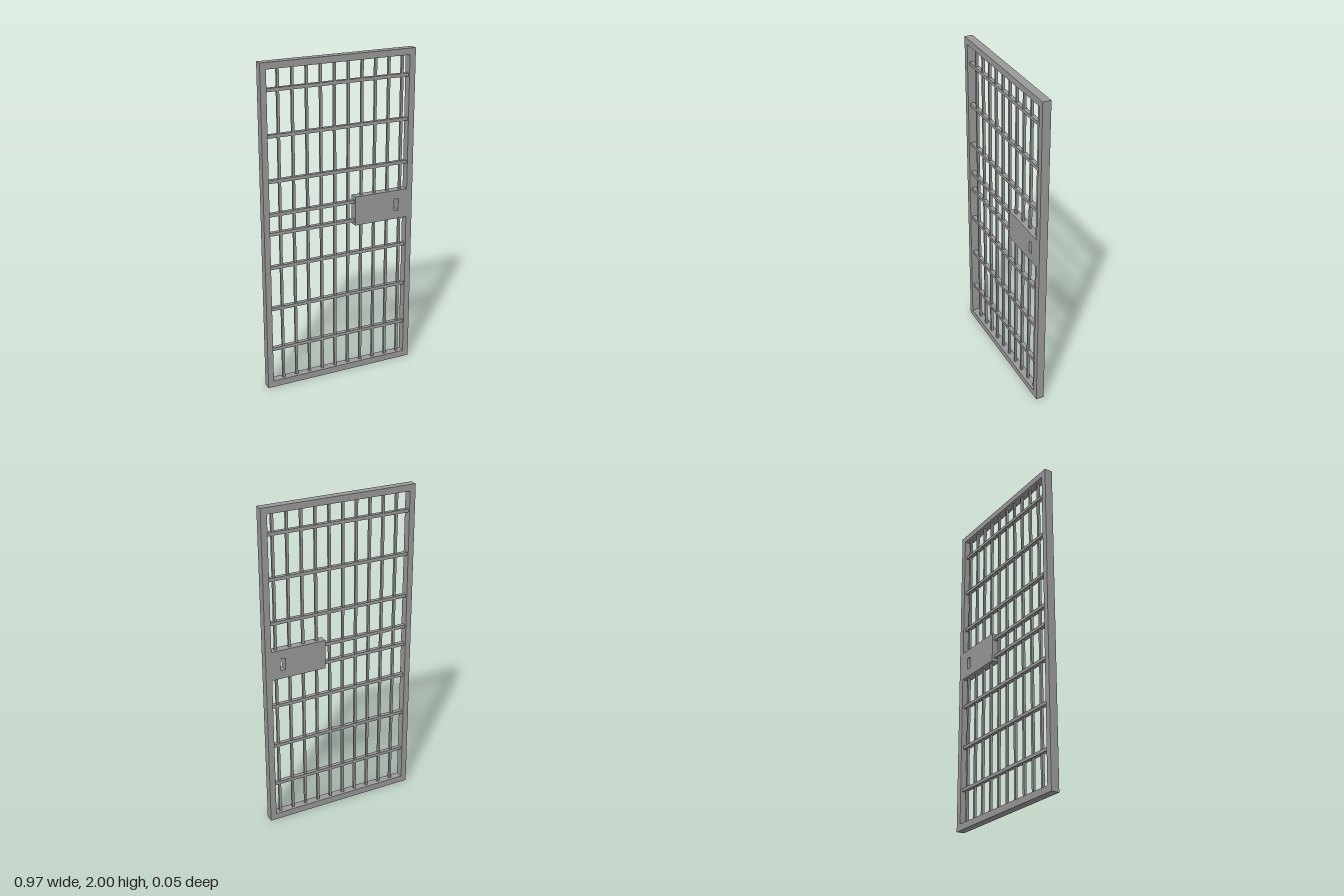
import * as THREE from 'three';

const DEPTH = 0.05;

// Rectangular plate with a rectangular opening, centred on z = 0
function plateWithOpening([x0, y0, x1, y1], [a0, b0, a1, b1]) {
  const shape = new THREE.Shape();
  shape.moveTo(x0, y0).lineTo(x1, y0).lineTo(x1, y1).lineTo(x0, y1).closePath();
  const hole = new THREE.Path();
  hole.moveTo(a0, b0).lineTo(a0, b1).lineTo(a1, b1).lineTo(a1, b0).closePath();
  shape.holes.push(hole);
  const geo = new THREE.ExtrudeGeometry(shape, { depth: DEPTH, bevelEnabled: false });
  return geo.translate(0, 0, -DEPTH / 2);
}

export function createModel() {
  const door = new THREE.Group();
  door.name = 'barredDoor';
  const material = new THREE.MeshStandardMaterial({ color: 0x999999 });

  function add(name, geometry, x = 0, y = 0) {
    const mesh = new THREE.Mesh(geometry, material);
    mesh.name = name;
    mesh.position.set(x, y, 0);
    door.add(mesh);
  }

  // Outer frame
  const left = -0.449, right = 0.447, bottom = 0.04, top = 1.961;
  add('frame', plateWithOpening([-0.485, 0, 0.485, 2], [left, bottom, right, top]));

  // Lock housing with a slot cut right through
  const lockX = 0.1, lockBottom = 0.962, lockTop = 1.143;
  add('lockHousing', plateWithOpening([lockX, lockBottom, right, lockTop], [0.361, 1.014, 0.391, 1.088]));

  // Square upright bars, interrupted where they meet the lock housing
  const addUpright = (x, y0, y1) =>
    add('uprightBar', new THREE.BoxGeometry(0.015, y1 - y0, 0.015), x, (y0 + y1) / 2);
  for (let i = 0; i < 10; i++) {
    const x = -0.374 + i * 0.0871;
    if (x > lockX) {
      addUpright(x, bottom, lockBottom);
      addUpright(x, lockTop, top);
    } else {
      addUpright(x, bottom, top);
    }
  }

  // Flat cross bars; the middle pair stops at the lock housing
  const addCross = (y, end) =>
    add('crossBar', new THREE.BoxGeometry(end - left, 0.02, 0.025), (left + end) / 2, y);
  for (const y of [0.248, 0.514, 0.78, 1.311, 1.577, 1.842]) addCross(y, right);
  for (const y of [0.991, 1.109]) addCross(y, lockX);

  return door;
}
